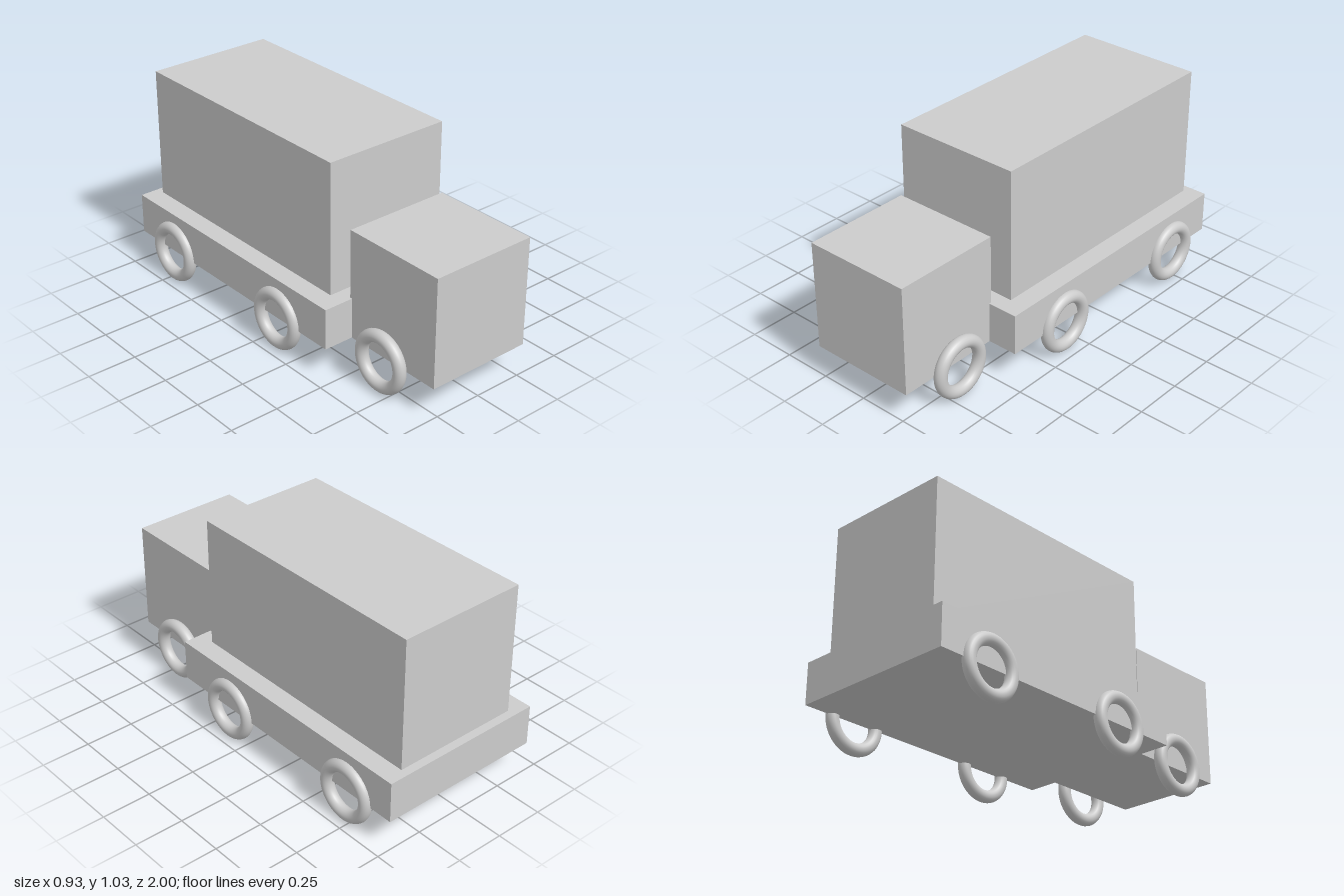
import * as THREE from 'three';

export function createModel() {
  const truck = new THREE.Group();
  truck.name = 'truck';
  const grey = new THREE.MeshStandardMaterial({ color: 0xcccccc });

  // Box given by its width, bottom and top heights, back and front depths
  function addBox(name, width, y0, y1, z0, z1) {
    const mesh = new THREE.Mesh(new THREE.BoxGeometry(width, y1 - y0, z1 - z0), grey);
    mesh.name = name;
    mesh.position.set(0, (y0 + y1) / 2, (z0 + z1) / 2);
    truck.add(mesh);
  }

  addBox('cab', 0.555, 0.158, 0.712, 0.445, 1);
  addBox('chassis', 0.866, 0.158, 0.365, -1, 0.458);
  addBox('cargoBox', 0.666, 0.365, 1.031, -0.957, 0.373);

  // Ring wheels in mirrored pairs: the front axle is narrower
  const ring = new THREE.TorusGeometry(0.126, 0.0315, 20, 64);
  ring.rotateY(Math.PI / 2);
  const axles = [
    ['front', 0.31, 0.69],
    ['middle', 0.435, 0.108],
    ['rear', 0.435, -0.717],
  ];
  for (const [name, x, z] of axles) {
    for (const side of [1, -1]) {
      const wheel = new THREE.Mesh(ring, grey);
      wheel.name = name + (side > 0 ? 'LeftWheel' : 'RightWheel');
      wheel.position.set(side * x, 0.159, z);
      truck.add(wheel);
    }
  }
  return truck;
}
